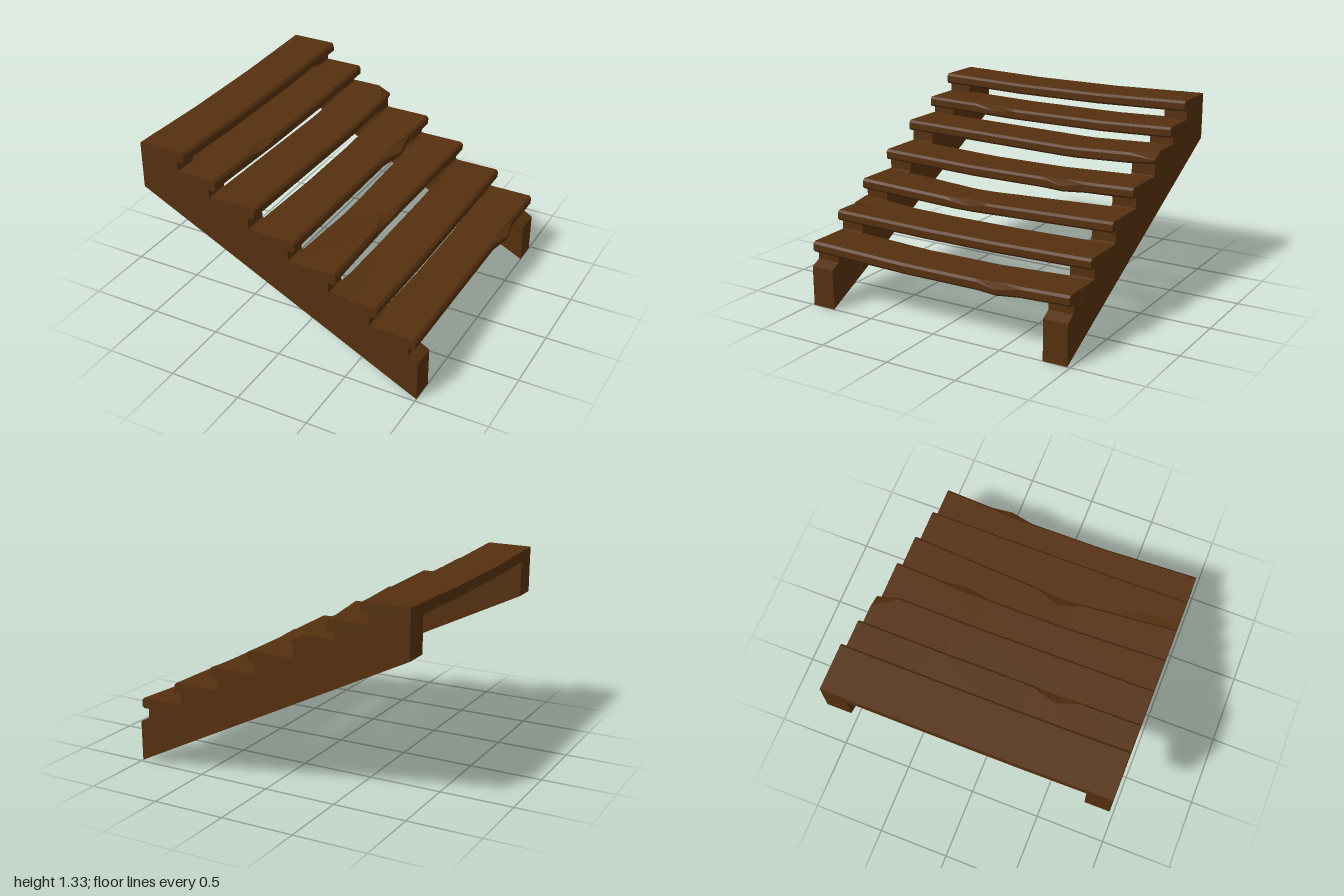
import * as THREE from 'three';
import { ConvexGeometry } from 'three/addons/geometries/ConvexGeometry.js';

const HALF = 0.98, INNER = 0.81, THICK = 0.073, DEPTH = 0.33, CHIP_REACH = 0.16;
const topX = y => (0.805 - y) / 0.52; // x on the sloping top of a stringer

// Tread: top height y, front edge x, sag depth and how far the front is worn back (waist)
// between z = from and z = to, then a chip at z, its depth, and how far the edge sticks out there
const tread = (y, x, sag, waist, from, to, chipZ = 0, chip = 0, out = 0) =>
  ({ y, x, sag, waist, from, to, chipZ, chip, out });
const TREADS = [
  tread(1.325, -0.67, 0.018, 0, -0.3, 0.35),
  tread(1.187, -0.44, 0.018, 0, -0.45, 0.25, 0.42, 0.05),
  tread(1.062, -0.155, 0.026, 0, -0.4, -0.3, -HALF, 0.08, -0.035),
  tread(0.904, 0.132, 0.027, 0.017, -0.3, 0.25, -0.47, 0.045, 0.035),
  tread(0.755, 0.42, 0.046, 0.046, 0.1, 0.25, 0.15, 0.05),
  tread(0.6, 0.71, 0.013, 0, -0.3, 0.25),
  tread(0.452, 0.982, 0.03, 0.018, -0.3, 0.25, -0.47, 0.045, 0.033),
];

// Wear grows evenly from the ends to full strength between from and to
const wear = (t, z) => Math.min(1, (z + HALF) / (t.from + HALF), (HALF - z) / (HALF - t.to));
const chipAt = (t, z) => Math.max(0, 1 - Math.abs(z - t.chipZ) / CHIP_REACH);

// Sweep a bevelled plank section along z, following wear and chip
function treadGeometry(t) {
  const chipEnds = t.chip ? [t.chipZ - CHIP_REACH, t.chipZ, t.chipZ + CHIP_REACH] : [];
  const zs = [-HALF, t.from, t.to, HALF, ...chipEnds].filter(z => Math.abs(z) <= HALF);
  const stations = [...new Set(zs)].sort((a, b) => a - b);
  const back = Math.max(-1, t.x - DEPTH);
  const rings = stations.map(z => {
    const w = wear(t, z), k = chipAt(t, z), c = t.chip * k;
    const front = t.x - t.waist * w + t.out * k;
    const top = t.y - t.sag * w, low = top - THICK;
    return [
      [back, low], [front - 0.012, low], [front, low + 0.014], [front, top - 0.016 - c * 0.35],
      [front - 0.015 - c, top], [back, top],
    ].map(([x, y]) => [x, y, z]);
  });
  const pos = [], tri = (...p) => p.forEach(v => pos.push(...v));
  const first = rings[0], last = rings[rings.length - 1], n = first.length;
  for (let s = 0; s + 1 < rings.length; s++) {
    const a = rings[s], b = rings[s + 1];
    for (let i = 0; i < n; i++) {
      const j = (i + 1) % n;
      tri(a[i], a[j], b[j]);
      tri(a[i], b[j], b[i]);
    }
  }
  for (let i = 1; i + 1 < n; i++) {
    tri(last[0], last[i], last[i + 1]);
    tri(first[0], first[i + 1], first[i]);
  }
  const g = new THREE.BufferGeometry();
  g.setAttribute('position', new THREE.Float32BufferAttribute(pos, 3));
  g.computeVertexNormals();
  return g;
}

// Flat outline extruded across the thickness of a stringer
function board(points) {
  const shape = new THREE.Shape(points.map(([x, y]) => new THREE.Vector2(x, y)));
  return new THREE.ExtrudeGeometry(shape, { depth: HALF - INNER, bevelEnabled: false });
}

export function createModel() {
  const wood = new THREE.MeshStandardMaterial({ color: 0x55300f });
  wood.name = 'dark wood';
  const model = new THREE.Group();
  model.name = 'stairs';
  const add = (parent, geometry, name) => {
    const mesh = new THREE.Mesh(geometry, wood);
    mesh.name = name;
    parent.add(mesh);
  };

  // Sloping side boards with a wedge under every tread
  for (const [name, z] of [['frontStringer', INNER], ['backStringer', -HALF]]) {
    const side = new THREE.Group();
    side.name = name;
    side.position.z = z;
    add(side, board([[-1, 1], [1, 0], [1, 0.28], [-1, 1.322]]), 'sideBoard');
    for (const t of TREADS) {
      const y = t.y - THICK, x = t.x - 0.05;
      add(side, board([[topX(y), y], [x, 0.795 - 0.52 * x], [x, y]]), 'treadWedge');
    }
    model.add(side);
  }

  // Worn treads
  TREADS.forEach((t, i) => add(model, treadGeometry(t), 'tread' + (i + 1)));

  // Lifted splinter on the second lowest tread
  const splinter = [[0.38, 0.59, HALF], [0.38, 0.625, HALF], [0.52, 0.606, HALF], [0.49, 0.545, HALF],
    [0.53, 0.585, 0.55], [0.4, 0.58, 0.3]].map(p => new THREE.Vector3(...p));
  add(model, new ConvexGeometry(splinter), 'splinter');

  return model;
}
